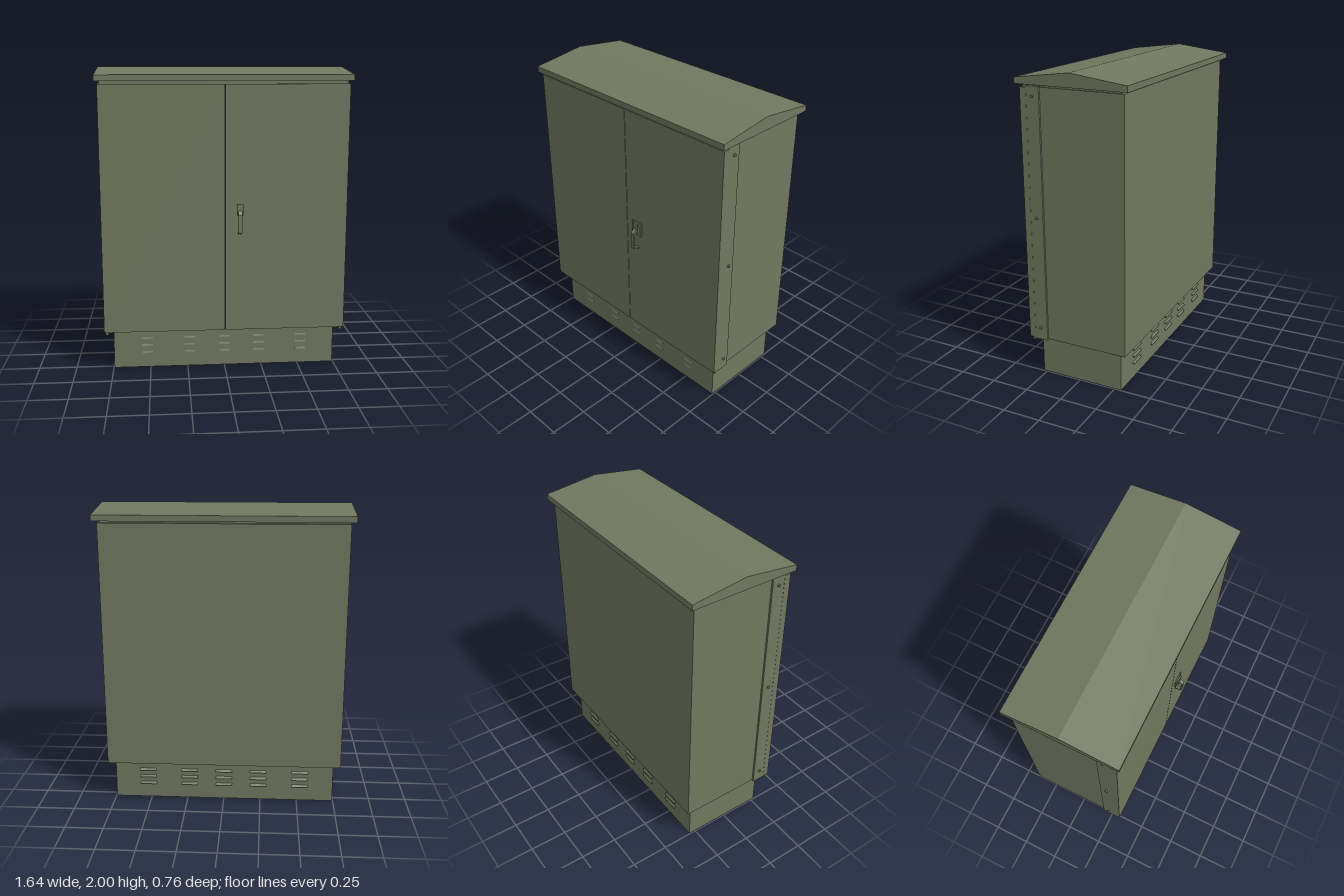
import * as THREE from 'three';

const paint = new THREE.MeshStandardMaterial({ color: 0x717860 });
paint.name = 'olivePaint';

export function createModel() {
  const model = new THREE.Group();
  model.name = 'utilityCabinet';

  const add = (name, geometry, x = 0, y = 0, z = 0) => {
    const mesh = new THREE.Mesh(geometry, paint);
    mesh.name = name;
    mesh.position.set(x, y, z);
    model.add(mesh);
    return mesh;
  };
  // Box given by its minimum and maximum on each axis
  const box = (name, x0, x1, y0, y1, z0, z1) =>
    add(name, new THREE.BoxGeometry(x1 - x0, y1 - y0, z1 - z0),
      (x0 + x1) / 2, (y0 + y1) / 2, (z0 + z1) / 2);
  // Side profile of [z, y] points, extruded along x and centred on cx
  const profile = (name, points, width, cx = 0) => {
    const shape = new THREE.Shape(points.map(([z, y]) => new THREE.Vector2(-z, y)));
    const g = new THREE.ExtrudeGeometry(shape, { depth: width, bevelEnabled: false });
    g.translate(0, 0, -width / 2);
    g.rotateY(Math.PI / 2);
    return add(name, g, cx);
  };

  // Plinth, housing and the recessed neck below the roof
  box('plinth', -0.745, 0.745, 0, 0.275, -0.295, 0.275);
  box('housing', -0.79, 0.79, 0.27, 1.9, -0.345, 0.295);
  box('roofNeck', -0.78, 0.78, 1.89, 1.92, -0.315, 0.32);

  // Pitched roof with a shallow vertical rim
  profile('roof', [[0.36, 1.915], [0.36, 1.953], [-0.008, 2], [-0.38, 1.953], [-0.38, 1.915]], 1.64);

  for (const s of [-1, 1]) {
    // Door leaf, leaving a narrow centre seam
    const leaf = box('door', 0.002, 0.803, 0.27, 1.895, 0.292, 0.335);
    leaf.position.x *= s;

    // Side flange carrying the hinges
    const flange = box('sideFlange', 0.77, 0.802, 0.262, 1.905, 0.205, 0.296);
    flange.position.x *= s;

    // Flange bolts
    for (const y of [0.345, 1.092, 1.845]) {
      add('flangeBolt', new THREE.CylinderGeometry(0.009, 0.009, 0.014, 12), s * 0.806, y, 0.25)
        .rotation.z = Math.PI / 2;
    }
    // Hinge pins at the foot and head of the door
    add('lowerHingePin', new THREE.CylinderGeometry(0.013, 0.011, 0.025, 12), s * 0.785, 0.26, 0.31);
    add('upperHingePin', new THREE.CylinderGeometry(0.01, 0.01, 0.025, 12), s * 0.785, 1.902, 0.31);
  }

  // Louvres: small hooded wedges in five columns on the plinth
  for (const x of [-0.52, -0.235, 0, 0.235, 0.52]) {
    for (const y of [0.1, 0.15, 0.2]) {
      profile('rearLouvre', [[-0.29, y + 0.022], [-0.306, y], [-0.29, y]], 0.11, x);
      profile('frontLouvre', [[0.273, y + 0.016], [0.279, y], [0.273, y]], 0.07, x);
    }
  }

  // Latch: backing plate, housing and a bent lever
  box('latchPlate', 0.053, 0.138, 1.03, 1.13, 0.334, 0.343);
  box('latchHousing', 0.075, 0.117, 1.055, 1.125, 0.34, 0.354);
  profile('latchLever', [
    [0.34, 1.055], [0.34, 1.085], [0.356, 1.085], [0.383, 1.06], [0.38, 0.94], [0.335, 0.928],
    [0.335, 0.936], [0.371, 0.947], [0.373, 1.052], [0.355, 1.063],
  ], 0.027, 0.096);

  return model;
}
